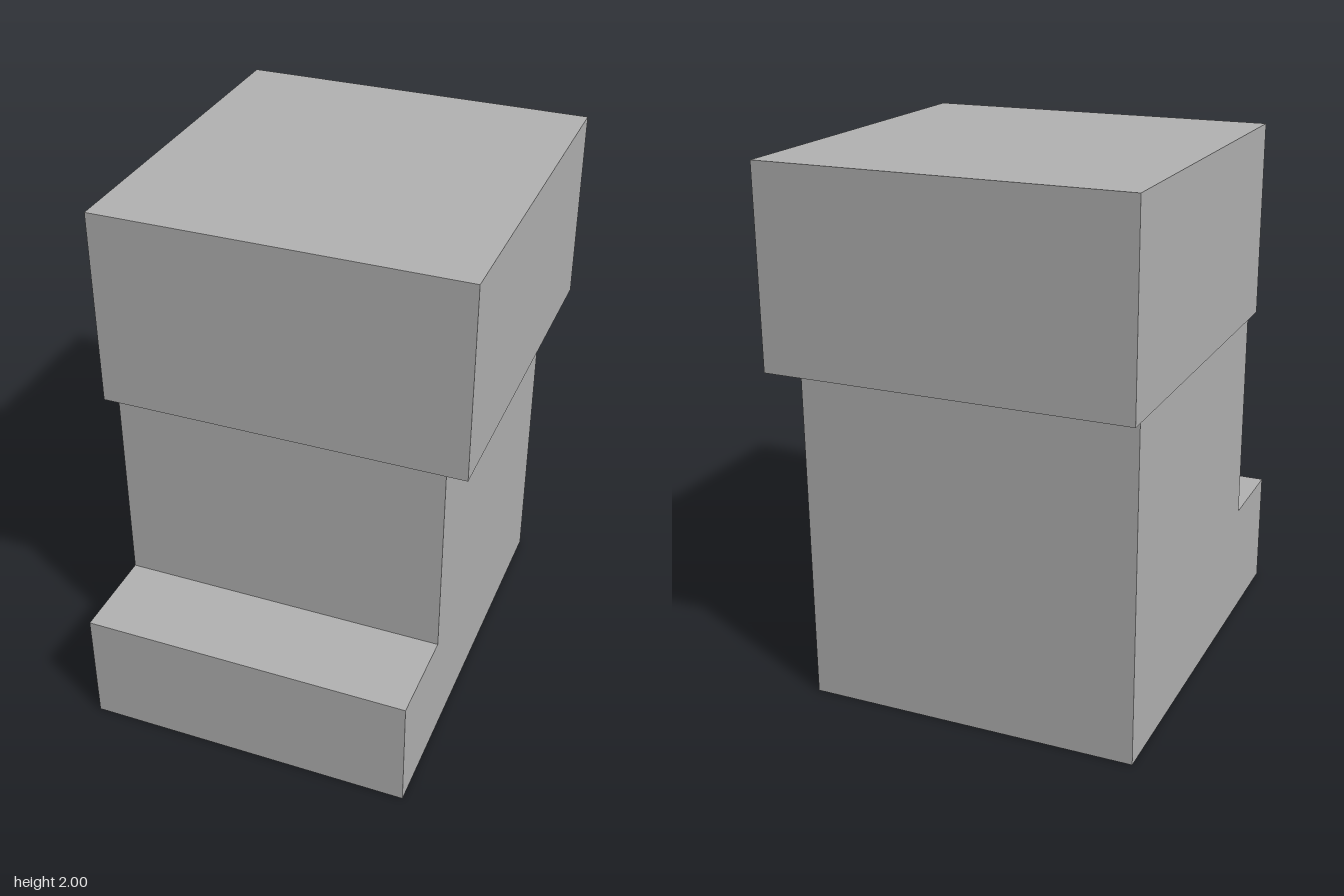
import * as THREE from 'three';

export function createModel() {
  const model = new THREE.Group();
  model.name = 'steppedBlock';
  const grey = new THREE.MeshStandardMaterial({ color: 0xb3b3b3 });
  grey.name = 'plain grey';

  // Body with a low step at the front: side profile as [z, y], extruded along x
  const profile = [[0.84, 0], [-0.76, 0], [-0.76, 1.265], [0.48, 1.265], [0.48, 0.445], [0.84, 0.445]];
  const shape = new THREE.Shape(profile.map(([z, y]) => new THREE.Vector2(-z, y)));
  const bodyGeometry = new THREE.ExtrudeGeometry(shape, { depth: 1.245, bevelEnabled: false });
  bodyGeometry.rotateY(Math.PI / 2);
  const body = new THREE.Mesh(bodyGeometry, grey);
  body.name = 'steppedBody';
  body.position.x = -0.665;
  model.add(body);

  // Overhanging top block
  const top = new THREE.Mesh(new THREE.BoxGeometry(1.354, 0.735, 1.396), grey);
  top.name = 'topBlock';
  top.position.set(0, 1.6325, -0.14);
  model.add(top);

  return model;
}
